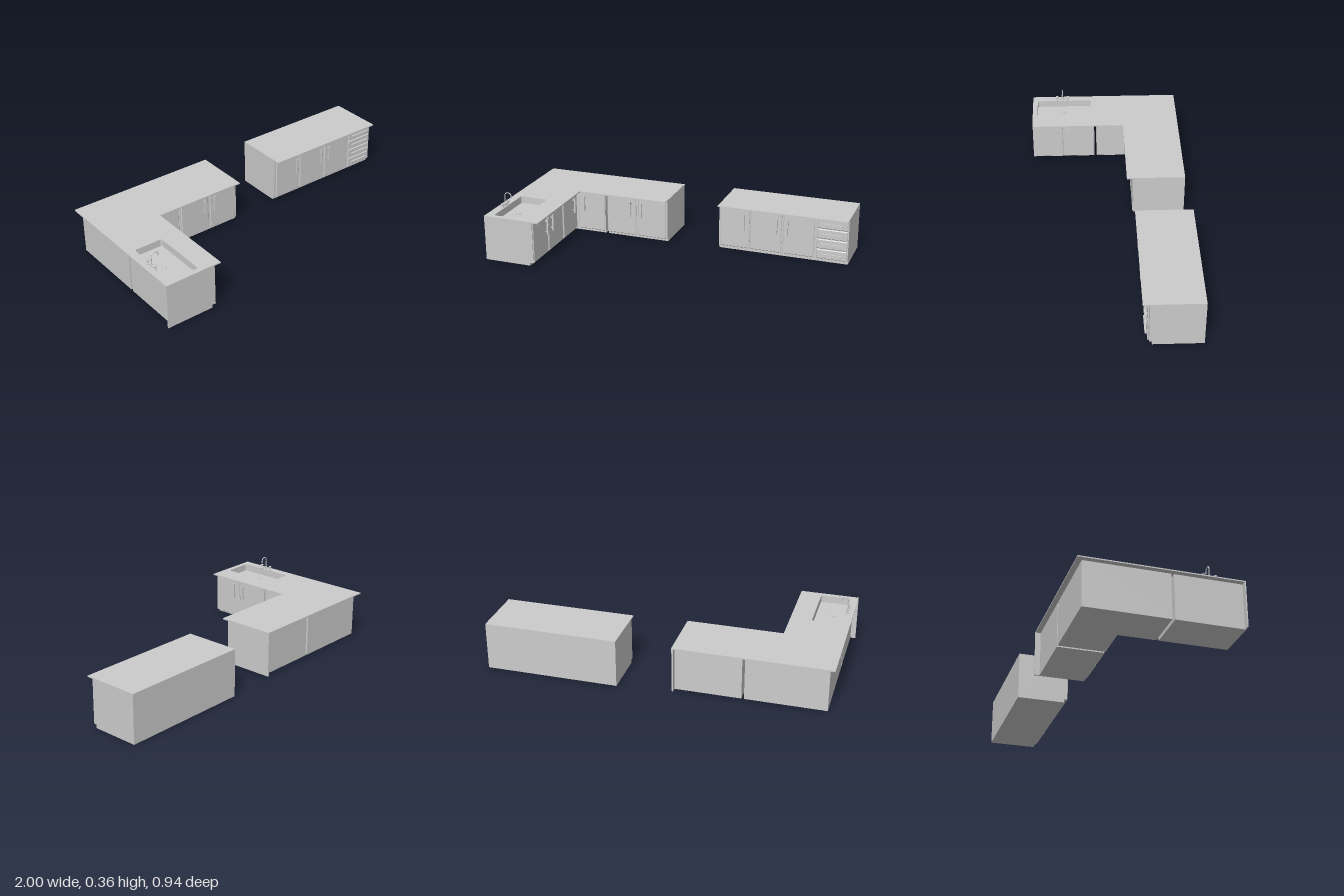
import * as THREE from 'three';

const grey = new THREE.MeshStandardMaterial({ color: 0xcccccc, side: THREE.DoubleSide });

function add(parent, name, geometry, x = 0, y = 0, z = 0) {
  const mesh = new THREE.Mesh(geometry, grey);
  mesh.name = name;
  mesh.position.set(x, y, z);
  parent.add(mesh);
  return mesh;
}

// Box given by its limits on each axis
function block(parent, name, [x0, x1], [y0, y1], [z0, z1]) {
  return add(parent, name, new THREE.BoxGeometry(x1 - x0, y1 - y0, z1 - z0),
    (x0 + x1) / 2, (y0 + y1) / 2, (z0 + z1) / 2);
}

// Horizontal slab from a plan outline of [x, z] points, with an optional hole
function slab(parent, name, points, y0, y1, hole) {
  const shape = new THREE.Shape(points.map(([x, z]) => new THREE.Vector2(x, -z)));
  if (hole) shape.holes.push(hole);
  const geo = new THREE.ExtrudeGeometry(shape, { depth: y1 - y0, bevelEnabled: false, curveSegments: 6 });
  geo.rotateX(-Math.PI / 2);
  return add(parent, name, geo, 0, y0, 0);
}

const rect = (x0, x1, z0, z1) => [[x0, z0], [x1, z0], [x1, z1], [x0, z1]];

function roundedRect(path, x0, x1, y0, y1, r) {
  path.absarc(x1 - r, y0 + r, r, -Math.PI / 2, 0);
  path.absarc(x1 - r, y1 - r, r, 0, Math.PI / 2);
  path.absarc(x0 + r, y1 - r, r, Math.PI / 2, Math.PI);
  path.absarc(x0 + r, y0 + r, r, Math.PI, Math.PI * 1.5);
  path.closePath();
  return path;
}

// Door or drawer front with a chamfered rim, facing local +z
function frontPanel(parent, name, u0, u1, y0, y1) {
  const b = 0.004;
  const shape = new THREE.Shape(rect(u0 + b, u1 - b, y0 + b, y1 - b).map(p => new THREE.Vector2(...p)));
  add(parent, name, new THREE.ExtrudeGeometry(shape,
    { depth: 0.002, bevelThickness: b, bevelSize: b, bevelSegments: 1 }), 0, 0, b);
}

// Bar handle on two posts
function handle(parent, name, u, y, length, upright) {
  const g = new THREE.Group();
  g.name = name;
  g.position.set(u, y, 0.01);
  if (!upright) g.rotation.z = Math.PI / 2;
  const reach = upright ? 0.01 : 0.003;
  add(g, 'bar', new THREE.BoxGeometry(0.009, length, 0.01), 0, 0, reach + 0.005);
  for (const s of [-1, 1]) {
    add(g, 'post', new THREE.BoxGeometry(0.006, 0.006, reach), 0, s * length * 0.33, reach / 2);
  }
  parent.add(g);
}

// Row of doors: each is [start, end, handle position]
function doorRow(parent, doors, y0, y1) {
  for (const [u0, u1, h] of doors) {
    frontPanel(parent, 'door', u0, u1, y0, y1);
    handle(parent, 'doorHandle', h, 0.194, 0.096, true);
  }
}

function island() {
  const g = new THREE.Group();
  g.name = 'island';
  block(g, 'plinth', [0.22, 1], [0, 0.02], [-0.47, -0.19]);
  block(g, 'cabinet', [0.22, 1], [0.02, 0.276], [-0.47, -0.175]);
  block(g, 'countertop', [0.22, 1], [0.276, 0.283], [-0.47, -0.137]);
  const fronts = new THREE.Group();
  fronts.name = 'islandFronts';
  fronts.position.z = -0.175;
  doorRow(fronts, [[0.229, 0.41, 0.38], [0.416, 0.605, 0.577], [0.615, 0.80, 0.642]], 0.026, 0.273);
  // Stack of four drawers
  for (let i = 0; i < 4; i++) {
    const y = 0.026 + i * 0.0625;
    frontPanel(fronts, 'drawer', 0.816, 0.995, y, y + 0.058);
    handle(fronts, 'drawerHandle', 0.905, y + 0.029, 0.13, false);
  }
  g.add(fronts);
  return g;
}

function tap() {
  const g = new THREE.Group();
  g.name = 'tap';
  g.position.set(-0.962, 0.277, 0.275);
  add(g, 'bridge', new THREE.BoxGeometry(0.008, 0.006, 0.075), 0, 0.01, 0);
  // Flared side valves
  const profile = [[0, 0], [0.009, 0], [0.009, 0.003], [0.005, 0.007], [0.004, 0.016],
    [0.009, 0.02], [0.009, 0.025], [0, 0.025]].map(p => new THREE.Vector2(...p));
  for (const s of [-1, 1]) {
    add(g, 'valve', new THREE.LatheGeometry(profile, 16), 0, 0, s * 0.034);
  }
  // Gooseneck spout
  const path = new THREE.CurvePath();
  const r = 0.021;
  const pts = [new THREE.Vector3(0, 0, 0), new THREE.Vector3(0, 0.03, 0), new THREE.Vector3(0, 0.05, 0)];
  for (let i = 0; i <= 8; i++) {
    const a = Math.PI * (1 - i / 8 * 1.05);
    pts.push(new THREE.Vector3(r + r * Math.cos(a), 0.063 + r * Math.sin(a), 0));
  }
  add(g, 'spout', new THREE.TubeGeometry(new THREE.CatmullRomCurve3(pts), 40, 0.003, 10));
  add(g, 'spoutTip', new THREE.CylinderGeometry(0.004, 0.004, 0.008, 12), 2 * r, 0.058, 0);
  add(g, 'spoutBase', new THREE.CylinderGeometry(0.005, 0.007, 0.02, 16), 0, 0.01, 0);
  return g;
}

function cornerKitchen() {
  const g = new THREE.Group();
  g.name = 'cornerKitchen';
  const base = 0.006, low = 0.024, top = 0.27, floor = 0.235;
  const basinHole = () => roundedRect(new THREE.Path(), -0.95, -0.78, -0.435, -0.095, 0.012);

  // Worktop in an L, cut out for the sink
  slab(g, 'countertop', [[-1, -0.45], [-0.095, -0.45], [-0.095, -0.105], [-0.655, -0.105],
    [-0.655, 0.465], [-1, 0.465]], top, 0.277, basinHole());

  // Back run cabinet
  slab(g, 'backCabinet', rect(-0.49, -0.107, -0.42, -0.15), low, top);
  slab(g, 'backPlinth', rect(-0.49, -0.107, -0.42, -0.158), base, low);
  // Corner cabinet
  const corner = (x, z) => [[-0.97, -0.42], [-0.505, -0.42], [-0.505, z], [x, z], [x, 0.06], [-0.97, 0.06]];
  slab(g, 'cornerCabinet', corner(-0.70, -0.15), low, top);
  slab(g, 'cornerPlinth', corner(-0.717, -0.158), base, low);
  // Sink cabinet, open at the top around the basin
  const sinkPlan = rect(-0.97, -0.70, 0.075, 0.458);
  slab(g, 'sinkCabinet', sinkPlan, low, floor);
  slab(g, 'sinkSurround', sinkPlan, floor, top, basinHole());
  slab(g, 'sinkPlinth', rect(-0.97, -0.717, 0.075, 0.458), base, low);

  // End panels reach the wall side
  block(g, 'endPanel', [-0.107, -0.097], [low, top], [-0.45, -0.145]);
  block(g, 'endPanelFoot', [-0.107, -0.097], [base, low], [-0.45, -0.158]);
  block(g, 'endPanel', [-1, -0.695], [low, top], [0.458, 0.465]);
  block(g, 'endPanelFoot', [-1, -0.717], [base, low], [0.458, 0.465]);

  // Doors of the back run
  const back = new THREE.Group();
  back.name = 'backDoors';
  back.position.z = -0.15;
  doorRow(back, [[-0.68, -0.506, -0.637], [-0.489, -0.30, -0.333], [-0.287, -0.107, -0.263]], low, 0.268);
  g.add(back);
  // Doors of the sink run, turned to face +x (local x is -z)
  const side = new THREE.Group();
  side.name = 'sideDoors';
  side.position.x = -0.70;
  side.rotation.y = Math.PI / 2;
  doorRow(side, [[-0.461, -0.274, -0.305], [-0.264, -0.076, -0.233], [-0.06, 0.12, 0.073]], low, 0.268);
  g.add(side);

  // Basin floor drain
  add(g, 'drain', new THREE.CylinderGeometry(0.015, 0.015, 0.002, 24), -0.882, floor + 0.001, 0.27);
  add(g, 'drainRim', new THREE.TorusGeometry(0.014, 0.0015, 6, 24).rotateX(Math.PI / 2), -0.882, floor + 0.002, 0.27);
  g.add(tap());
  return g;
}

export function createModel() {
  const model = new THREE.Group();
  model.name = 'kitchen';
  model.add(cornerKitchen(), island());
  return model;
}
